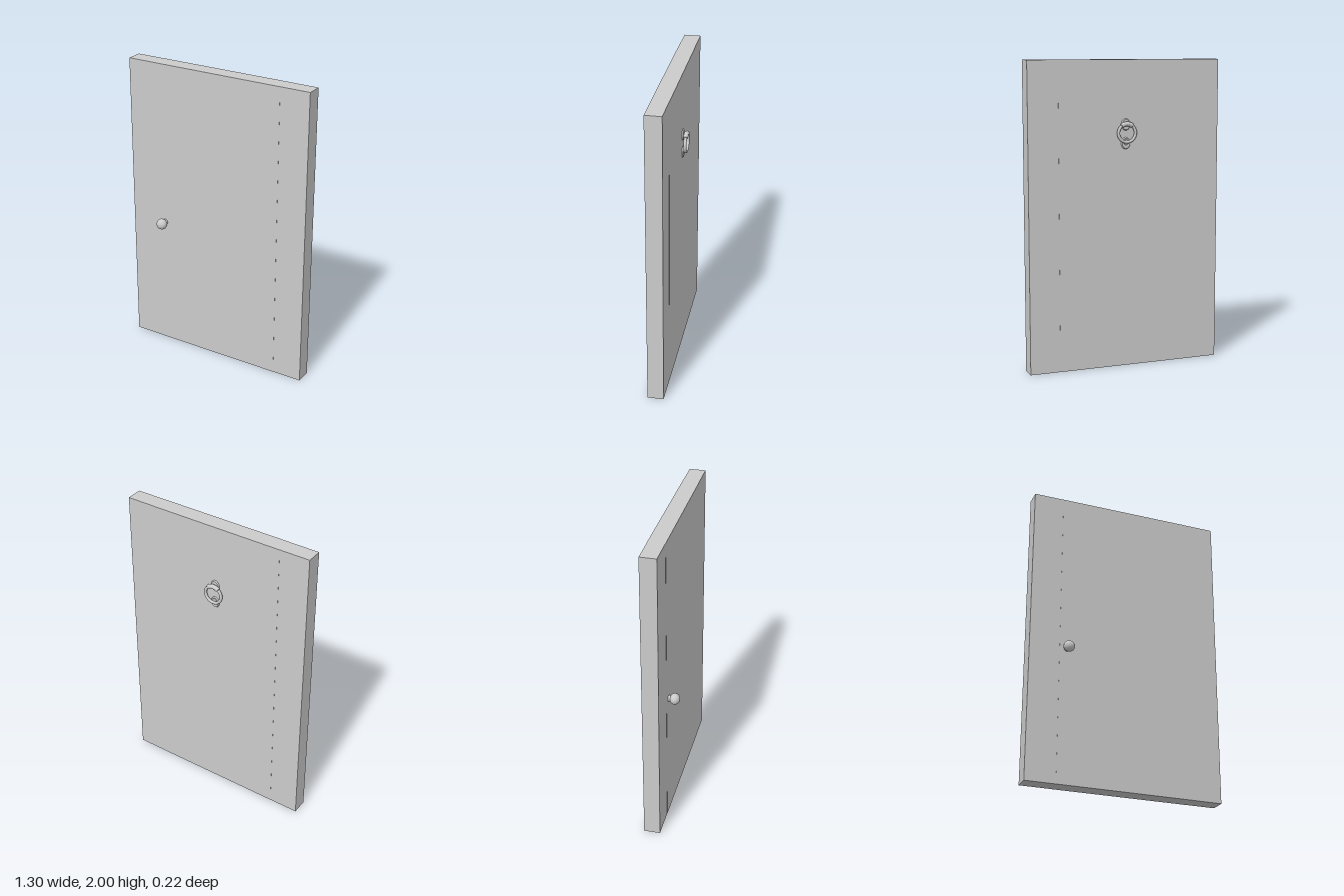
import * as THREE from 'three';

const material = new THREE.MeshStandardMaterial({ color: 0xcccccc });

function add(parent, name, geometry, x, y, z) {
  const mesh = new THREE.Mesh(geometry, material);
  mesh.name = name;
  mesh.position.set(x, y, z);
  parent.add(mesh);
  return mesh;
}

export function createModel() {
  const model = new THREE.Group();
  model.name = 'door';
  const front = 0.037, back = -0.071;
  const depth = front - back, middle = (front + back) / 2;

  // Door leaf stands a hair proud of the two side panels
  add(model, 'doorLeaf', new THREE.BoxGeometry(0.9, 2, depth), 0, 1, middle);
  for (const side of [-1, 1]) {
    add(model, side < 0 ? 'rightPanel' : 'leftPanel',
      new THREE.BoxGeometry(0.2, 2, depth - 0.002), side * 0.55, 1, middle);
  }

  // Knob: round stem and slightly flattened ball
  const knob = new THREE.Group();
  knob.name = 'knob';
  knob.position.set(-0.4, 0.9, front);
  model.add(knob);
  add(knob, 'knobStem', new THREE.CylinderGeometry(0.021, 0.021, 0.03, 16), 0, 0, 0.014)
    .rotation.x = Math.PI / 2;
  const ball = add(knob, 'knobBall', new THREE.SphereGeometry(0.037, 16, 10), 0, 0, 0.041);
  ball.rotation.x = Math.PI / 2;
  ball.scale.y = 0.88;

  // Knocker: hanging ring with a thick collar, between two oval plates
  const knocker = new THREE.Group();
  knocker.name = 'knocker';
  knocker.position.set(0, 1.535, back);
  model.add(knocker);
  add(knocker, 'knockerRing', new THREE.TorusGeometry(0.058, 0.01, 12, 36), 0, 0, -0.024);

  const arc = 1.28;
  const collar = new THREE.Group();
  collar.name = 'ringCollar';
  collar.position.z = -0.024;
  knocker.add(collar);
  add(collar, 'collarBand', new THREE.TorusGeometry(0.058, 0.015, 12, 12, arc), 0, 0, 0)
    .rotation.z = (Math.PI - arc) / 2;
  for (const side of [-1, 1]) {
    const angle = Math.PI / 2 - side * arc / 2;
    const end = add(collar, 'collarEnd', new THREE.SphereGeometry(0.015, 12, 8),
      0.058 * Math.cos(angle), 0.058 * Math.sin(angle), 0);
    end.rotation.z = angle;
    end.scale.y = 0.3;
  }

  for (const [name, y] of [['upperPlate', 0.053], ['lowerPlate', -0.067]]) {
    const plate = add(knocker, name, new THREE.CylinderGeometry(0.026, 0.031, 0.008, 24), 0, y, -0.004);
    plate.rotation.x = -Math.PI / 2;
    plate.scale.z = 1.25;
  }
  // Pin holding the collar and boss struck by the ring
  add(knocker, 'hingePin', new THREE.CylinderGeometry(0.011, 0.011, 0.022, 12), 0, 0.055, -0.014)
    .rotation.x = Math.PI / 2;
  add(knocker, 'strikeBoss', new THREE.SphereGeometry(0.018, 16, 10), 0, -0.06, -0.006)
    .scale.z = 0.5;

  return model;
}
